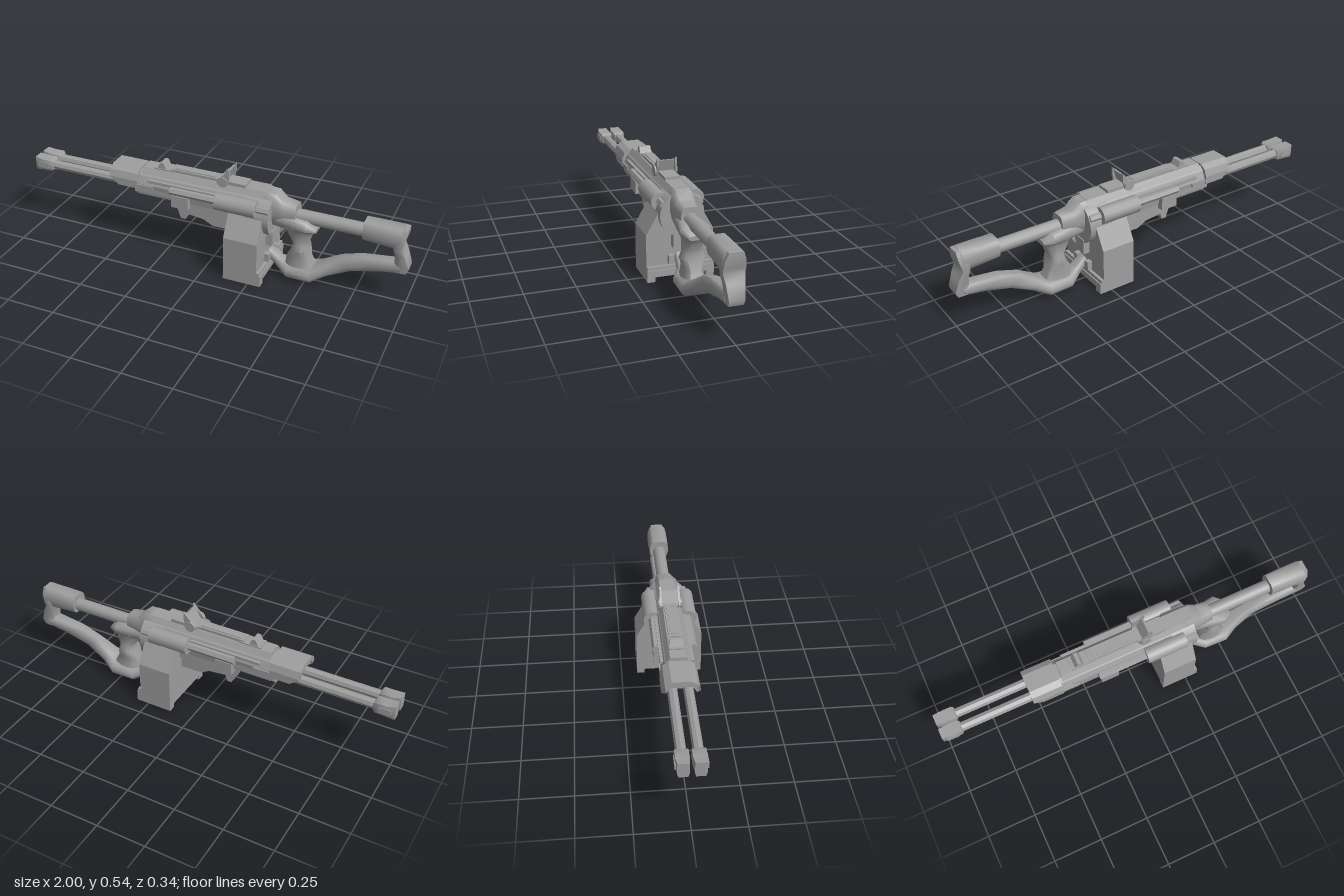
import * as THREE from 'three';
import { toCreasedNormals } from 'three/addons/utils/BufferGeometryUtils.js';

const material = new THREE.MeshStandardMaterial({ color: 0x9e9e9e, flatShading: true });
const smooth = new THREE.MeshStandardMaterial({ color: 0x9e9e9e });

// Half cross-sections for lofts: [position across, width factor]
const ROUND = [[0, 0.6], [0.12, 0.85], [0.35, 1], [0.65, 1], [0.88, 0.85], [1, 0.6]];
const SQUARE = [[0, 0.8], [0.25, 1], [0.85, 1], [1, 0.94]];

export function createModel() {
  const model = new THREE.Group();

  const add = (name, geometry, mat = material) => {
    const mesh = new THREE.Mesh(geometry, mat);
    mesh.name = name;
    model.add(mesh);
    return mesh;
  };

  // Box given by its limits on each axis
  const box = (name, x0, x1, y0, y1, z0, z1) =>
    add(name, new THREE.BoxGeometry(x1 - x0, y1 - y0, z1 - z0)
      .translate((x0 + x1) / 2, (y0 + y1) / 2, (z0 + z1) / 2));

  // Same box on both sides
  const sideBoxes = (name, x0, x1, y0, y1, z0, z1) => {
    box(name + 'Left', x0, x1, y0, y1, z0, z1);
    box(name + 'Right', x0, x1, y0, y1, -z1, -z0);
  };

  // Side profile (x, y) extruded between two z values
  const plate = (name, points, z0, z1) => {
    const shape = new THREE.Shape(points.map(p => new THREE.Vector2(...p)));
    return add(name, new THREE.ExtrudeGeometry(shape, { depth: z1 - z0, bevelEnabled: false }).translate(0, 0, z0));
  };

  // Half section (z, y), mirrored and swept along x
  const sweep = (name, half, x0, x1) => {
    const mirrored = half.filter(p => p[0] > 0).map(([z, y]) => [-z, y]).reverse();
    const shape = new THREE.Shape([...half, ...mirrored].map(p => new THREE.Vector2(...p)));
    return add(name, new THREE.ExtrudeGeometry(shape, { depth: x1 - x0, bevelEnabled: false })
      .rotateY(Math.PI / 2).translate(x0, 0, 0));
  };

  // Cylinder along x
  const rod = (name, x0, x1, y, z, radius, sides, mat = material) =>
    add(name, new THREE.CylinderGeometry(radius, radius, x1 - x0, sides)
      .rotateZ(Math.PI / 2).translate((x0 + x1) / 2, y, z), mat);

  // Mirrored sections, each station [x, y, x, y, half width], joined in order
  const loft = (name, stations, half = ROUND, zOffset = 0) => {
    const ring = [...half, ...half.map(([t, k]) => [t, -k]).reverse()];
    const positions = [], index = [], n = ring.length, last = (stations.length - 1) * n;
    for (const [ax, ay, bx, by, w] of stations)
      for (const [t, k] of ring) positions.push(ax + (bx - ax) * t, ay + (by - ay) * t, k * w + zOffset);
    for (let s = 0; s < stations.length - 1; s++)
      for (let i = 0; i < n; i++) {
        const a = s * n + i, b = s * n + (i + 1) % n;
        index.push(a, b, a + n, b, b + n, a + n);
      }
    for (let i = 1; i < n - 1; i++) index.push(0, i + 1, i, last, last + i, last + i + 1);
    // Turn the faces outwards if the enclosed volume is negative
    const v = i => new THREE.Vector3().fromArray(positions, i * 3);
    let volume = 0;
    for (let i = 0; i < index.length; i += 3) volume += v(index[i]).dot(v(index[i + 1]).cross(v(index[i + 2])));
    if (volume < 0) index.reverse();
    const geometry = new THREE.BufferGeometry();
    geometry.setAttribute('position', new THREE.Float32BufferAttribute(positions, 3));
    geometry.setIndex(index);
    return add(name, toCreasedNormals(geometry, 0.8), smooth);
  };

  // Twin barrels with flared, slotted muzzles
  for (const [side, z] of [['Left', 0.037], ['Right', -0.037]]) {
    rod('barrel' + side, -0.92, -0.3, 0.36, z, 0.024, 8);
    loft('muzzle' + side, [
      [-1, 0.322, -1, 0.397, 0.026], [-0.955, 0.33, -0.955, 0.39, 0.032],
      [-0.905, 0.332, -0.905, 0.39, 0.032], [-0.895, 0.338, -0.895, 0.382, 0.025]], SQUARE, z);
    const outer = Math.sign(z) * 0.072;
    box('muzzleVent' + side, -0.98, -0.92, 0.345, 0.375, Math.min(outer, z), Math.max(outer, z));
  }

  // Hood over the barrels, raked at the front
  const hood = sweep('barrelHood', [[0, 0.45], [0.045, 0.45], [0.075, 0.43], [0.088, 0.395], [0.088, 0.355],
    [0.07, 0.355], [0.07, 0.39], [0.05, 0.42], [0, 0.42]], -0.54, -0.385);
  const hp = hood.geometry.attributes.position;
  for (let i = 0; i < hp.count; i++)
    if (hp.getX(i) < -0.5) hp.setX(i, -0.54 + Math.max(0, 0.39 - hp.getY(i)) * 1.4);
  hood.geometry.computeVertexNormals();

  // Handguard
  sweep('handguard', [[0, 0.305], [0.05, 0.305], [0.075, 0.33], [0.075, 0.37], [0, 0.37]], -0.405, -0.19);
  sideBoxes('handguardRail', -0.4, -0.3, 0.36, 0.378, 0.06, 0.085);

  // Upper receiver and its stepped roof
  sweep('receiver', [[0, 0.32], [0.07, 0.32], [0.078, 0.38], [0.06, 0.42], [0.038, 0.44], [0, 0.44]], -0.385, 0.3);
  sweep('receiverRoof', [[0, 0.43], [0.056, 0.43], [0.037, 0.458], [0, 0.458]], -0.37, 0.3);
  box('topRail', -0.22, 0.18, 0.455, 0.472, -0.03, 0.03);
  box('topRailRib', -0.2, 0.02, 0.468, 0.476, -0.02, 0.02);
  sideBoxes('receiverStrip', -0.33, 0.27, 0.395, 0.41, 0.06, 0.08);
  sideBoxes('receiverPanel', -0.2, 0.1, 0.36, 0.378, 0.07, 0.088);

  // Rear of the receiver
  loft('receiverTail', [[0.28, 0.29, 0.28, 0.457, 0.062], [0.335, 0.3, 0.335, 0.455, 0.06],
    [0.375, 0.31, 0.375, 0.42, 0.053], [0.44, 0.315, 0.44, 0.41, 0.046]]);
  loft('gripHousing', [[0.3, 0.285, 0.3, 0.36, 0.045], [0.42, 0.28, 0.42, 0.355, 0.062],
    [0.5, 0.285, 0.5, 0.348, 0.074], [0.545, 0.29, 0.545, 0.312, 0.045]]);

  // Lower receiver
  plate('lowerReceiver', [[-0.2, 0.35], [-0.2, 0.29], [-0.185, 0.27], [-0.165, 0.212], [-0.14, 0.212],
    [-0.13, 0.245], [-0.04, 0.235], [0.01, 0.208], [0.14, 0.208], [0.14, 0.35]], -0.045, 0.045);
  box('lowerReceiverSides', -0.17, 0.3, 0.275, 0.34, -0.065, 0.065);
  sideBoxes('sideBlock', -0.19, -0.1, 0.3, 0.365, 0.04, 0.1);
  sideBoxes('sideBlockRail', -0.2, 0.06, 0.362, 0.38, 0.06, 0.09);

  // Side tubes with the rods that run through them
  for (const [side, s] of [['Left', 1], ['Right', -1]]) {
    rod('sideTube' + side, 0.05, 0.26, 0.385, 0.09 * s, 0.043, 12, smooth);
    rod('sideRod' + side, -0.2, 0.32, 0.385, 0.088 * s, 0.02, 6);
  }

  // Ammunition box with a notched foot
  sweep('magazine', [[0, 0.057], [0.168, 0.057], [0.168, 0.235], [0.098, 0.36], [0, 0.36]], 0.12, 0.295);
  sweep('magazineFoot', [[0, 0.024], [0.129, 0.024], [0.129, 0], [0.168, 0], [0.168, 0.057], [0, 0.057]], 0.12, 0.316);
  sweep('magazineFootStep', [[0, 0.055], [0.168, 0.055], [0.168, 0.075], [0, 0.075]], 0.12, 0.31);
  rod('magazineDisk', 0.2, 0.325, 0.333, 0, 0.11, 24, smooth);
  box('magazineCatch', 0.285, 0.33, 0.17, 0.25, -0.045, 0.045);
  sideBoxes('latch', 0.285, 0.32, 0.085, 0.127, 0.035, 0.063);

  // Front sight
  plate('frontSight', [[-0.3, 0.455], [-0.28, 0.495], [-0.262, 0.495], [-0.245, 0.455]], -0.03, 0.03);
  box('frontSightBase', -0.31, -0.2, 0.45, 0.465, -0.035, 0.035);

  // Rear sight: plate between two raked posts, with pivot knobs
  const post = [[0.035, 0.46], [0.035, 0.475], [0.1, 0.543], [0.1, 0.5], [0.085, 0.455]];
  plate('rearSightPostLeft', post, 0.04, 0.05);
  plate('rearSightPostRight', post, -0.05, -0.04);
  plate('rearSightPlate', [[0.05, 0.46], [0.085, 0.53], [0.095, 0.53], [0.075, 0.46]], -0.04, 0.04);
  for (const z of [0.053, -0.053])
    add('rearSightKnob', new THREE.CylinderGeometry(0.027, 0.027, 0.008, 12)
      .rotateX(Math.PI / 2).translate(0.065, 0.472, z));
  box('rearSightBase', 0.03, 0.18, 0.455, 0.473, -0.038, 0.038);

  // Pistol grip and trigger
  loft('grip', [[0.36, 0.3, 0.54, 0.295, 0.06], [0.395, 0.27, 0.52, 0.265, 0.045], [0.43, 0.21, 0.5, 0.21, 0.05],
    [0.425, 0.18, 0.505, 0.18, 0.062], [0.4, 0.13, 0.515, 0.13, 0.044], [0.395, 0.05, 0.55, 0.06, 0.06]]);
  plate('trigger', [[0.355, 0.29], [0.375, 0.29], [0.37, 0.25], [0.35, 0.225], [0.355, 0.255]], -0.012, 0.012);

  // Skeleton stock: tube, butt, end plate and lower strut
  rod('stockTube', 0.4, 0.8, 0.35, 0, 0.034, 12, smooth);
  loft('stockButt', [[0.77, 0.312, 0.77, 0.41, 0.05], [0.85, 0.308, 0.85, 0.41, 0.052],
    [0.955, 0.3, 0.955, 0.41, 0.052]]);
  loft('buttPlate', [[0.9, 0.409, 0.975, 0.409, 0.032], [0.9, 0.375, 0.974, 0.375, 0.049],
    [0.915, 0.33, 0.965, 0.335, 0.054], [0.92, 0.3, 0.958, 0.31, 0.052], [0.93, 0.265, 0.978, 0.27, 0.045],
    [0.93, 0.225, 1, 0.205, 0.039], [0.93, 0.175, 0.99, 0.178, 0.036]], SQUARE);
  loft('stockStrut', [[0.96, 0.17, 0.96, 0.23, 0.04], [0.86, 0.153, 0.77, 0.207, 0.037],
    [0.72, 0.114, 0.665, 0.175, 0.033], [0.61, 0.062, 0.57, 0.115, 0.052], [0.535, 0.016, 0.53, 0.09, 0.08],
    [0.41, 0.016, 0.42, 0.085, 0.075], [0.34, 0.058, 0.37, 0.092, 0.035], [0.295, 0.095, 0.31, 0.14, 0.03]]);

  return model;
}
